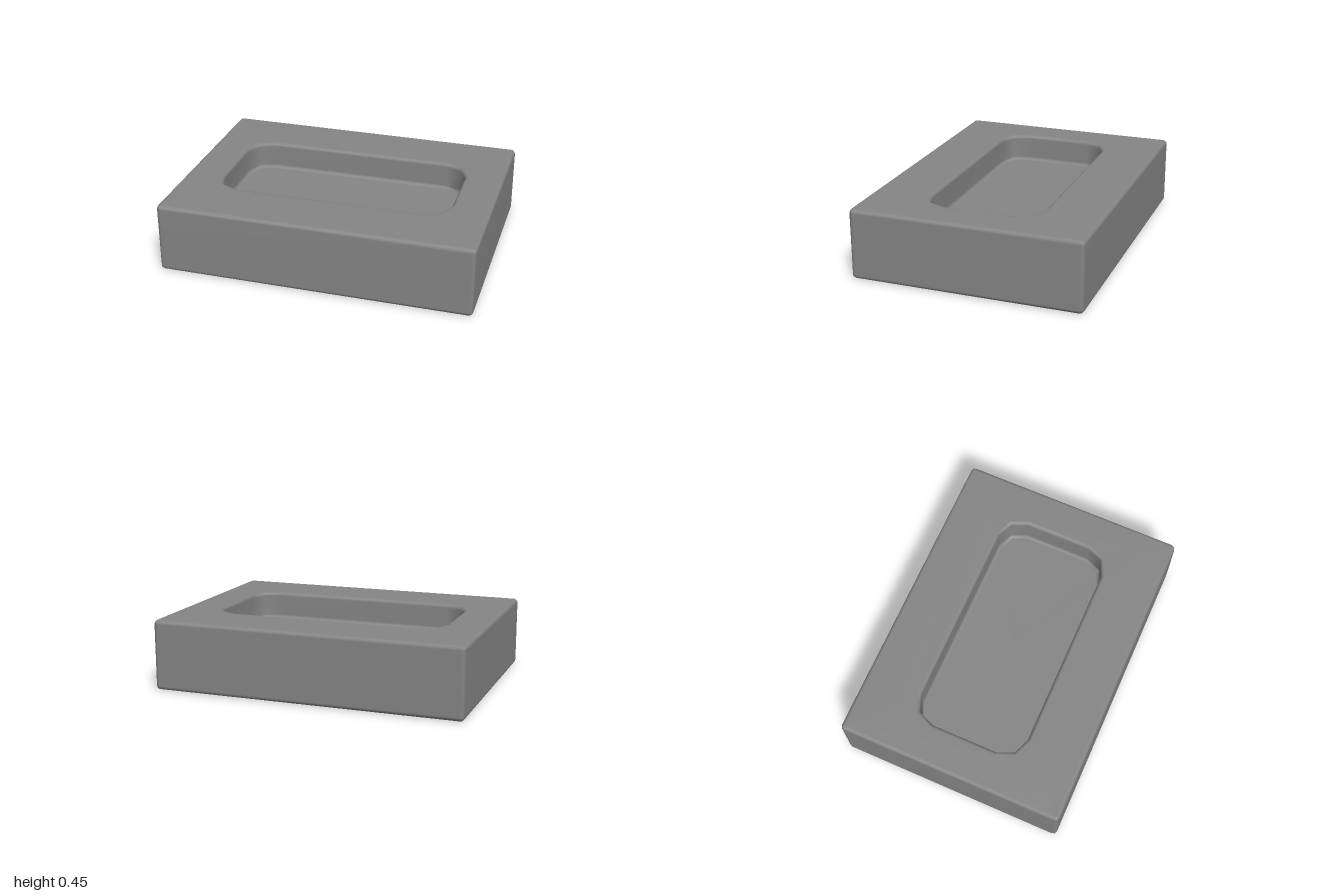
import * as THREE from 'three';

// Rounded rectangle ring: two chords per corner, 12 points
function ring(hx, hz, r, y) {
  const pts = [];
  for (let c = 0; c < 4; c++) {
    const sx = c === 0 || c === 3 ? 1 : -1;
    const sz = c < 2 ? 1 : -1;
    for (let k = 0; k < 3; k++) {
      const a = (c + k / 2) * Math.PI / 2;
      pts.push([sx * (hx - r) + r * Math.cos(a), y, sz * (hz - r) + r * Math.sin(a)]);
    }
  }
  return pts;
}

// Skin through successive rings, closed by a flat cap at each end
function loft(rings) {
  const n = rings[0].length, last = (rings.length - 1) * n;
  const pos = rings.flat(2), idx = [];
  const c0 = rings.length * n, c1 = c0 + 1;
  pos.push(0, rings[0][0][1], 0, 0, rings[rings.length - 1][0][1], 0);
  for (let i = 0; i < n; i++) {
    const j = (i + 1) % n;
    for (let b = 0; b < last; b += n) {
      idx.push(b + i, b + n + i, b + j, b + j, b + n + i, b + n + j);
    }
    idx.push(c0, i, j, c1, last + j, last + i);
  }
  const g = new THREE.BufferGeometry();
  g.setAttribute('position', new THREE.Float32BufferAttribute(pos, 3));
  g.setIndex(idx);
  g.computeVertexNormals();
  return g;
}

export function createModel() {
  const W = 1, D = 0.735, H = 0.45, B = 0.026;          // block half sizes, height, edge radius
  const PW = 0.75, PD = 0.365, PR = 0.15, PB = 0.024;   // pocket half sizes, corner radius, fillet
  const FLOOR = H - 0.18, STEPS = 3;
  const rings = [];
  const arc = (fn) => {
    for (let s = 0; s <= STEPS; s++) {
      const a = s / STEPS * Math.PI / 2;
      fn(Math.sin(a), Math.cos(a));
    }
  };
  const outer = (inset, y) => rings.push(ring(W - inset, D - inset, B - inset + 0.001, y));
  const pocket = (grow, y) => rings.push(ring(PW + grow, PD + grow, PR + grow, y));

  // Outer block: lower and upper rounded edges
  arc((s, c) => outer(B * (1 - s), B * (1 - c)));
  arc((s, c) => outer(B * (1 - c), H - B * (1 - s)));
  // Pocket: rounded rim, upright wall, filleted floor
  arc((s, c) => pocket(PB * (1 - s), H - PB * (1 - c)));
  arc((s, c) => pocket(-PB * (1 - c), FLOOR + PB * (1 - s)));

  const tray = new THREE.Mesh(loft(rings), new THREE.MeshStandardMaterial({ color: 0x858585 }));
  tray.name = 'recessedBlock';
  const group = new THREE.Group();
  group.name = 'tray';
  group.add(tray);
  return group;
}
